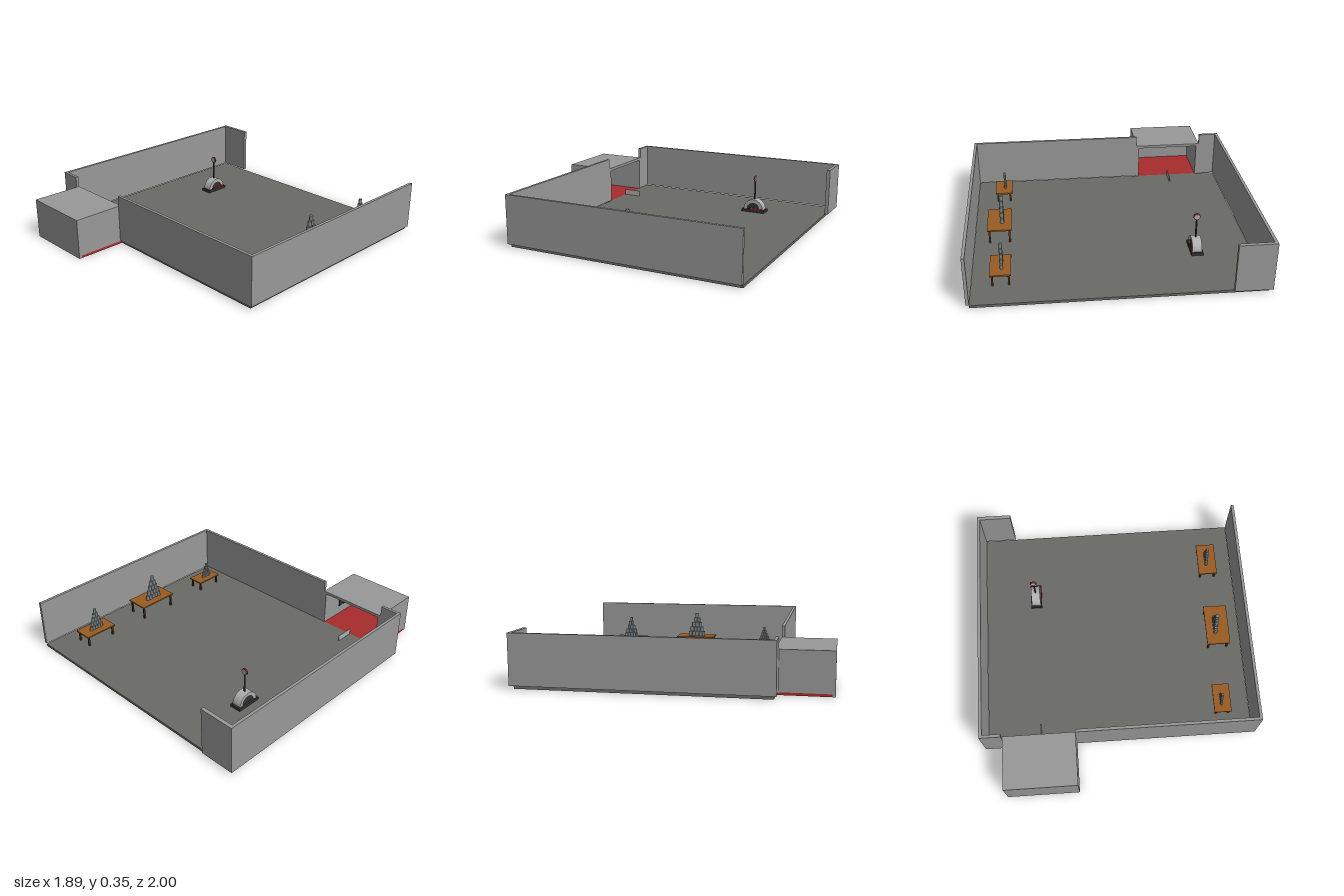
import * as THREE from 'three';

const mat = (name, color) => {
  const m = new THREE.MeshStandardMaterial({ color });
  m.name = name;
  return m;
};

export function createModel() {
  const wallGrey = mat('wall grey', 0x999999);
  const floorGrey = mat('floor grey', 0x6a6a66);
  const red = mat('red', 0xa82c2c);
  const wood = mat('table wood', 0x9a5c24);
  const darkWood = mat('leg wood', 0x4f3019);
  const canMetal = mat('can metal', 0x7d8488);
  const dark = mat('dark metal', 0x333333);
  const pale = mat('pale grey', 0xb0b0b0);

  const model = new THREE.Group();
  const add = (name, geo, material, parent = model) => {
    const m = new THREE.Mesh(geo, material);
    m.name = name;
    parent.add(m);
    return m;
  };
  // box given by its limits on each axis
  const box = (name, material, x0, x1, y0, y1, z0, z1, parent) => {
    const g = new THREE.BoxGeometry(x1 - x0, y1 - y0, z1 - z0);
    g.translate((x0 + x1) / 2, (y0 + y1) / 2, (z0 + z1) / 2);
    return add(name, g, material, parent);
  };

  // room: floor slab and walls, open at the back
  const F = 0.018, B = 0.022, H = 0.355;
  box('floor', floorGrey, -0.93, 0.925, 0, F, -0.975, 0.645);
  box('rightWall', wallGrey, -0.95, -0.93, B, H, -0.975, 0.66);
  box('leftWall', wallGrey, 0.925, 0.945, B, H, -0.975, 0.66);
  box('frontWallShort', wallGrey, -0.93, -0.805, B, H, 0.64, 0.66);
  box('frontWallLong', wallGrey, -0.31, 0.925, B, H, 0.64, 0.66);
  box('backWall', wallGrey, -0.95, -0.705, B, H, -1, -0.975);

  // entrance booth, open towards the room
  const booth = new THREE.Group();
  booth.name = 'booth';
  model.add(booth);
  box('boothFloor', red, -0.805, -0.31, 0.001, F, 0.645, 0.98, booth);
  box('boothRoof', wallGrey, -0.805, -0.31, 0.26, 0.28, 0.64, 1, booth);
  box('boothFront', wallGrey, -0.805, -0.31, 0, 0.26, 0.98, 1, booth);
  box('boothRightSide', wallGrey, -0.805, -0.785, F, 0.26, 0.64, 0.98, booth);
  box('boothLeftSide', wallGrey, -0.33, -0.31, F, 0.26, 0.64, 0.98, booth);
  for (const z of [0.81, 0.86])
    box('wallPanel', dark, -0.336, -0.33, 0.085, 0.15, z, z + 0.035, booth);
  box('divider', pale, -0.563, -0.557, F, 0.06, 0.515, 0.645);

  // tables with a pyramid of cans each
  const makeTable = (x0, x1, z0, z1, top, canX, canZ0, canZ1, peak) => {
    const table = new THREE.Group();
    table.name = 'table';
    model.add(table);
    box('tableTop', wood, x0, x1, top - 0.01, top, z0, z1, table);
    for (const x of [x0 + 0.015, x1 - 0.015])
      for (const z of [z0 + 0.015, z1 - 0.015])
        box('tableLeg', darkWood, x - 0.006, x + 0.006, F, top - 0.01, z - 0.006, z + 0.006, table);
    const rows = 5, d = (canZ1 - canZ0) / rows, h = (peak - top) / rows;
    const can = new THREE.CylinderGeometry(d * 0.48, d * 0.48, h * 0.97, 12);
    for (let r = 0; r < rows; r++)
      for (let i = 0; i < rows - r; i++)
        add('can', can, canMetal, table)
          .position.set(canX, top + h * (r + 0.5), canZ0 + d * (i + 0.5 + r / 2));
  };
  makeTable(0.67, 0.805, -0.79, -0.55, 0.1, 0.73, -0.725, -0.615, 0.26);
  makeTable(0.67, 0.835, -0.275, 0.02, 0.12, 0.735, -0.19, -0.055, 0.305);
  makeTable(0.67, 0.79, 0.315, 0.52, 0.09, 0.722, 0.385, 0.47, 0.205);

  // strength machine: base, arched body, pole and dial
  const machine = new THREE.Group();
  machine.name = 'strengthMachine';
  machine.position.set(-0.56, F, -0.478);
  model.add(machine);
  box('machineBase', dark, -0.04, 0.04, 0, 0.02, -0.0875, 0.0875, machine);
  const arch = (outer, inner, width, y) => {
    const s = new THREE.Shape();
    s.absarc(0, 0, outer, 0, Math.PI, false);
    if (inner) s.absarc(0, 0, inner, Math.PI, 0, true);
    const g = new THREE.ExtrudeGeometry(s, { depth: width, bevelEnabled: false, curveSegments: 16 });
    g.translate(0, 0, -width / 2);
    g.rotateY(Math.PI / 2);
    g.translate(0, y, 0);
    return g;
  };
  add('machineArch', arch(0.075, 0.05, 0.064, 0.02), pale, machine);
  add('machineCore', arch(0.05, 0, 0.052, 0.02), dark, machine);
  box('machineStripe', red, 0.032, 0.036, 0.02, 0.03, -0.075, 0.03, machine);
  const pole = new THREE.CylinderGeometry(0.006, 0.006, 0.15, 10);
  pole.translate(0, 0.16, 0);
  add('pole', pole, dark, machine);
  const disc = (r, depth) => new THREE.CylinderGeometry(r, r, depth, 24)
    .rotateX(Math.PI / 2).translate(0, 0.25, 0);
  add('dialFace', disc(0.018, 0.014), pale, machine);
  add('dialRim', disc(0.023, 0.01), red, machine);
  return model;
}
